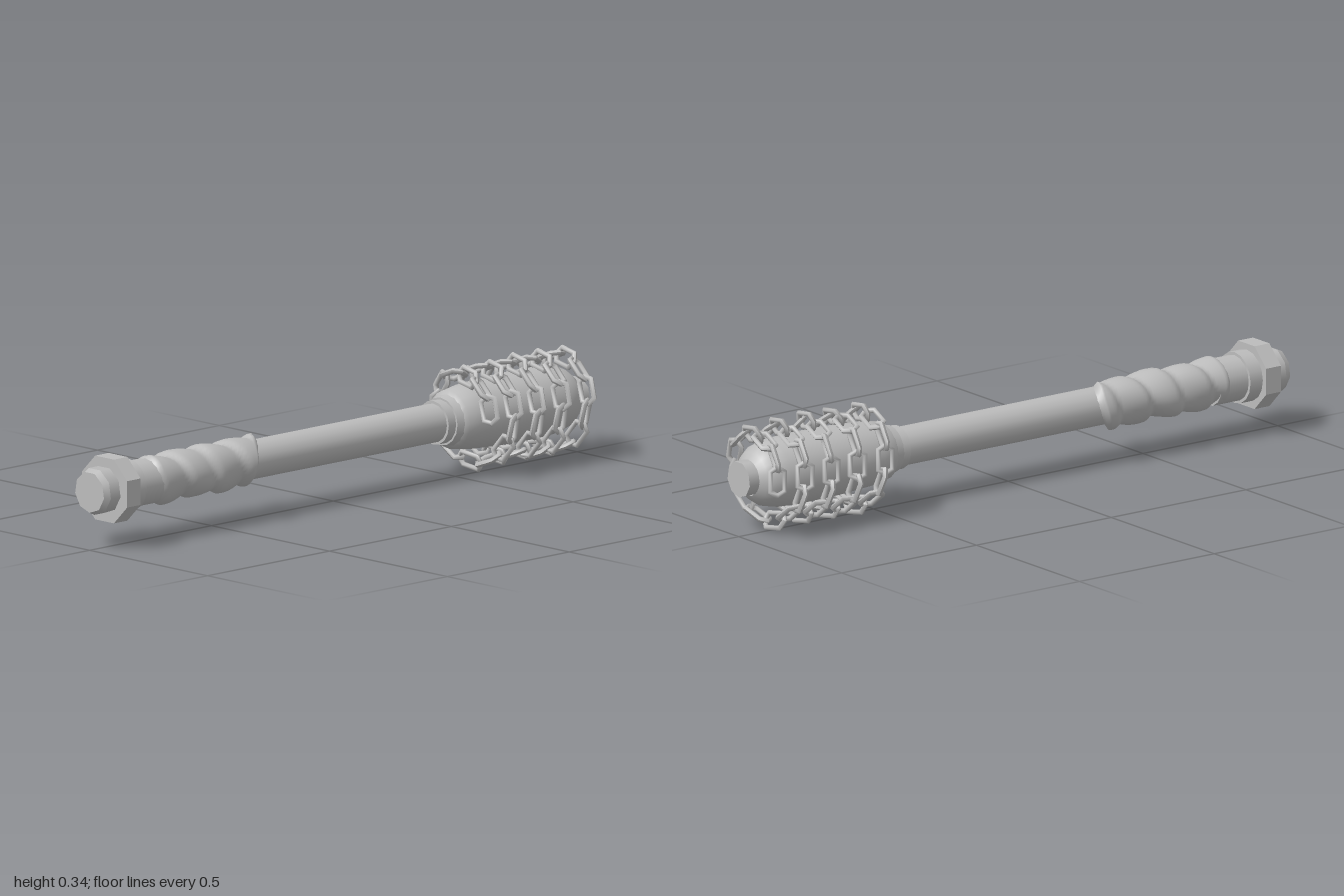
import * as THREE from 'three';

const AXIS_Y = 0.18;

export function createModel() {
  const group = new THREE.Group();
  const grey = new THREE.MeshStandardMaterial({ color: 0xbcbcbc });
  grey.name = 'plain grey';

  const add = (name, geometry, parent = group) => {
    const mesh = new THREE.Mesh(geometry, grey);
    mesh.name = name;
    if (parent === group) mesh.position.y = AXIS_Y;
    parent.add(mesh);
    return mesh;
  };

  // Straight or tapered length along z, from z0 (back) to z1 (front)
  const rod = (name, z0, z1, r0, r1 = r0, sides = 16) => {
    const g = new THREE.CylinderGeometry(r1, r0, z1 - z0, sides);
    g.rotateX(Math.PI / 2).translate(0, 0, (z0 + z1) / 2);
    return add(name, g);
  };

  // Handle
  rod('shaft', -0.46, 0.85, 0.058);
  rod('gripSleeve', 0.74, 0.845, 0.069);
  rod('gripCollar', 0.84, 0.89, 0.078);
  rod('pommelBody', 0.88, 0.98, 0.071, 0.071, 9);
  rod('pommelBevel', 0.98, 1.0, 0.071, 0.062, 9);

  // Octagonal nut, flat sides up
  const nut = new THREE.CylinderGeometry(0.104, 0.104, 0.055, 8).toNonIndexed();
  nut.rotateY(Math.PI / 8).rotateX(Math.PI / 2).translate(0.002, 0, 0.913);
  nut.computeVertexNormals();
  add('pommelNut', nut);

  // Cloth wrap: a sleeve with spiral ridges and a slanted loose end
  const AROUND = 32, ALONG = 64;
  const wrap = new THREE.CylinderGeometry(1, 1, 1, AROUND, ALONG, true);
  const p = wrap.attributes.position;
  for (let i = 0; i < p.count; i++) {
    const a = Math.atan2(p.getX(i), p.getZ(i));  // zero at the top, +x positive
    const t = p.getY(i) + 0.5;                   // zero at the loose end
    const end = 0.335 + 0.04 * Math.sin(a - 0.5);
    const z = end + (0.775 - end) * t;
    const turn = z / 0.115 + a / (2 * Math.PI);
    const f = turn - Math.floor(turn);
    const fold = f < 0.8 ? Math.sin((f / 0.8) * Math.PI * 0.6) : 0.95 * (1 - f) / 0.2;
    let r = 0.063 + 0.013 * fold + 0.003 * Math.sin(3 * a + z * 25);
    if (t < 0.03) r = 0.056 + (r - 0.056) * t / 0.03;
    if (t > 0.97) r = 0.066 + (r - 0.066) * (1 - t) / 0.03;
    p.setXYZ(i, r * Math.sin(a), r * Math.cos(a), z);
  }
  // The mapping mirrors the sleeve, so turn its faces back outward
  const idx = wrap.index;
  const before = new THREE.Vector3().fromBufferAttribute(p, idx.getX(0));
  const e1 = new THREE.Vector3().fromBufferAttribute(p, idx.getX(1)).sub(before);
  const e2 = new THREE.Vector3().fromBufferAttribute(p, idx.getX(2)).sub(before);
  if (e1.cross(e2).dot(before.setZ(0)) < 0) {
    for (let i = 0; i < idx.count; i += 3) {
      const b = idx.getX(i + 1);
      idx.setX(i + 1, idx.getX(i + 2));
      idx.setX(i + 2, b);
    }
  }
  wrap.computeVertexNormals();
  add('clothWrap', wrap);

  // Head: neck rings, swollen body and blunt tip
  rod('neckRing', -0.445, -0.41, 0.066);
  rod('neckCollar', -0.47, -0.44, 0.078, 0.072);
  const profile = [
    [0.055, -0.965], [0.075, -0.95], [0.092, -0.925], [0.102, -0.88], [0.106, -0.8],
    [0.104, -0.65], [0.097, -0.53], [0.088, -0.475], [0.07, -0.46],
  ].map(([r, z]) => new THREE.Vector2(r, z));
  add('headBody', new THREE.LatheGeometry(profile, 20).rotateX(Math.PI / 2));
  rod('headTip', -1.0, -0.95, 0.055, 0.055, 9);

  // Chain link: a six-cornered ring stretched lengthwise
  const link = new THREE.TorusGeometry(0.026, 0.0085, 6, 6);
  const lp = link.attributes.position;
  for (let i = 0; i < lp.count; i++) lp.setX(i, lp.getX(i) + Math.sign(lp.getX(i)) * 0.016);
  link.computeVertexNormals();

  // Chain wound round the head
  const chain = new THREE.Group();
  chain.name = 'chain';
  chain.position.set(0, AXIS_Y - 0.006, 0);
  const PER_TURN = 12, LINKS = 54, R = 0.134, PITCH = 0.1;
  const start = -8.45 * Math.PI;
  for (let i = 0; i < LINKS; i++) {
    const a = start + (i / PER_TURN) * Math.PI * 2;
    const out = new THREE.Vector3(Math.sin(a), Math.cos(a), 0);
    const along = new THREE.Vector3(R * Math.cos(a), -R * Math.sin(a), PITCH / (2 * Math.PI)).normalize();
    const side = new THREE.Vector3().crossVectors(along, out);
    const roll = (i % 2 ? Math.PI / 2 : 0) + 0.3 + 0.15 * Math.sin(i * 2.3);
    const y = side.clone().multiplyScalar(Math.cos(roll)).addScaledVector(out, Math.sin(roll));
    const z = new THREE.Vector3().crossVectors(along, y);
    const m = add('chainLink', link, chain);
    m.quaternion.setFromRotationMatrix(new THREE.Matrix4().makeBasis(along, y, z));
    const r = R + 0.004 * Math.sin(i * 1.7);
    m.position.copy(out).multiplyScalar(r).setZ(-0.535 + (PITCH * a) / (2 * Math.PI));
  }
  group.add(chain);

  // Rest the lowest link on the ground
  group.updateMatrixWorld(true);
  const low = new THREE.Box3().setFromObject(group, true).min.y;
  for (const part of group.children) part.position.y -= low;
  return group;
}
